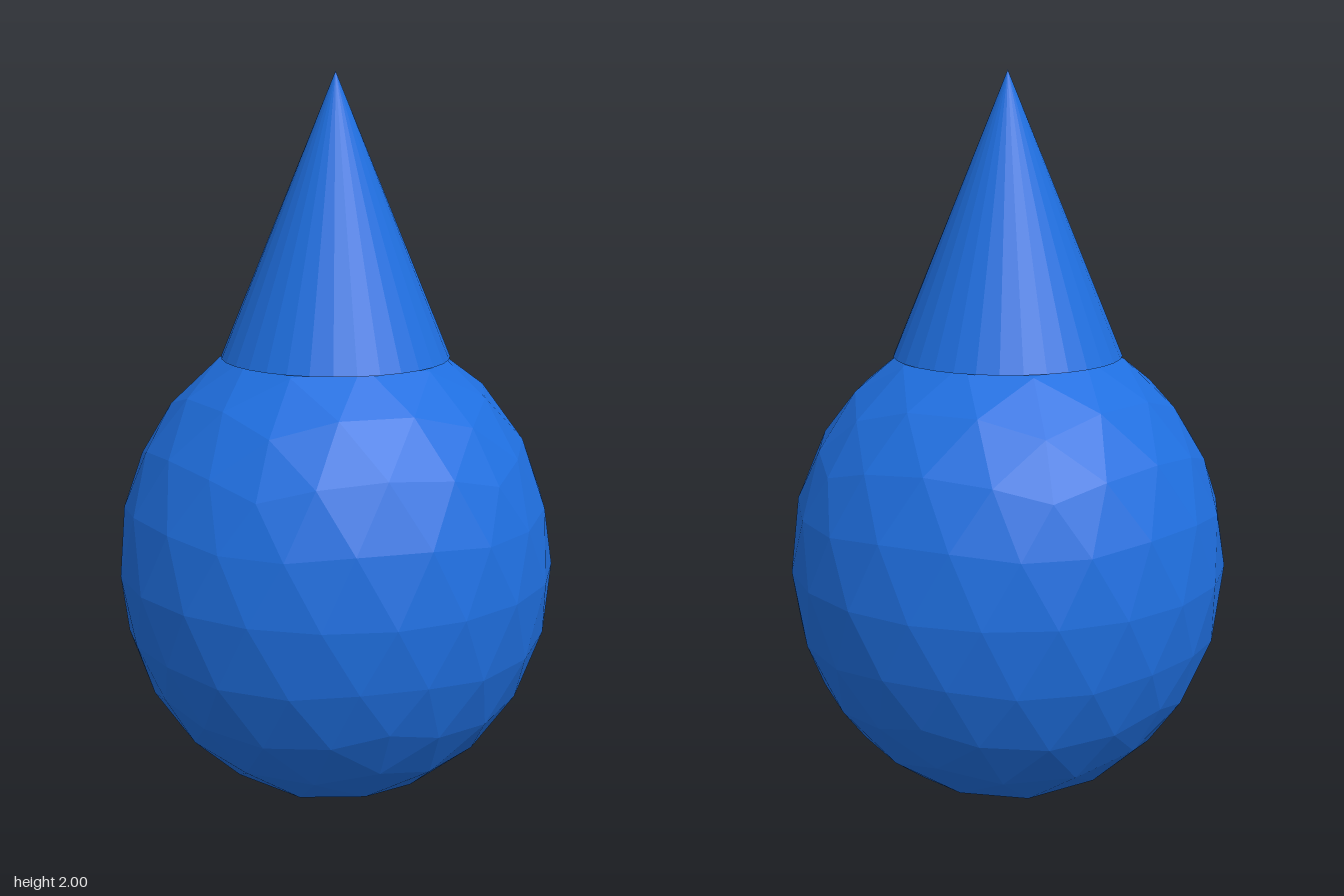
import * as THREE from 'three';

export function createModel() {
  const group = new THREE.Group();
  const material = new THREE.MeshStandardMaterial({ color: 0x1f6fe0 });
  material.flatShading = true;

  // Faceted round body: an icosphere stood on one corner and stretched upwards
  const sphere = new THREE.IcosahedronGeometry(1, 3);
  sphere.rotateX(-Math.atan((1 + Math.sqrt(5)) / 2)); // corner to the pole
  sphere.rotateY(Math.PI / 2); // upper ring corner to +x
  sphere.scale(0.6, 0.672, 0.6);
  sphere.translate(0, 0.672, 0);
  const body = new THREE.Mesh(sphere, material);
  body.name = 'body';

  // Pointed cone resting on top
  const baseY = 1.25;
  const height = 2 - baseY;
  const cone = new THREE.Mesh(new THREE.ConeGeometry(0.31, height, 32), material);
  cone.name = 'pointedTop';
  cone.position.y = baseY + height / 2;

  group.add(body, cone);
  return group;
}
